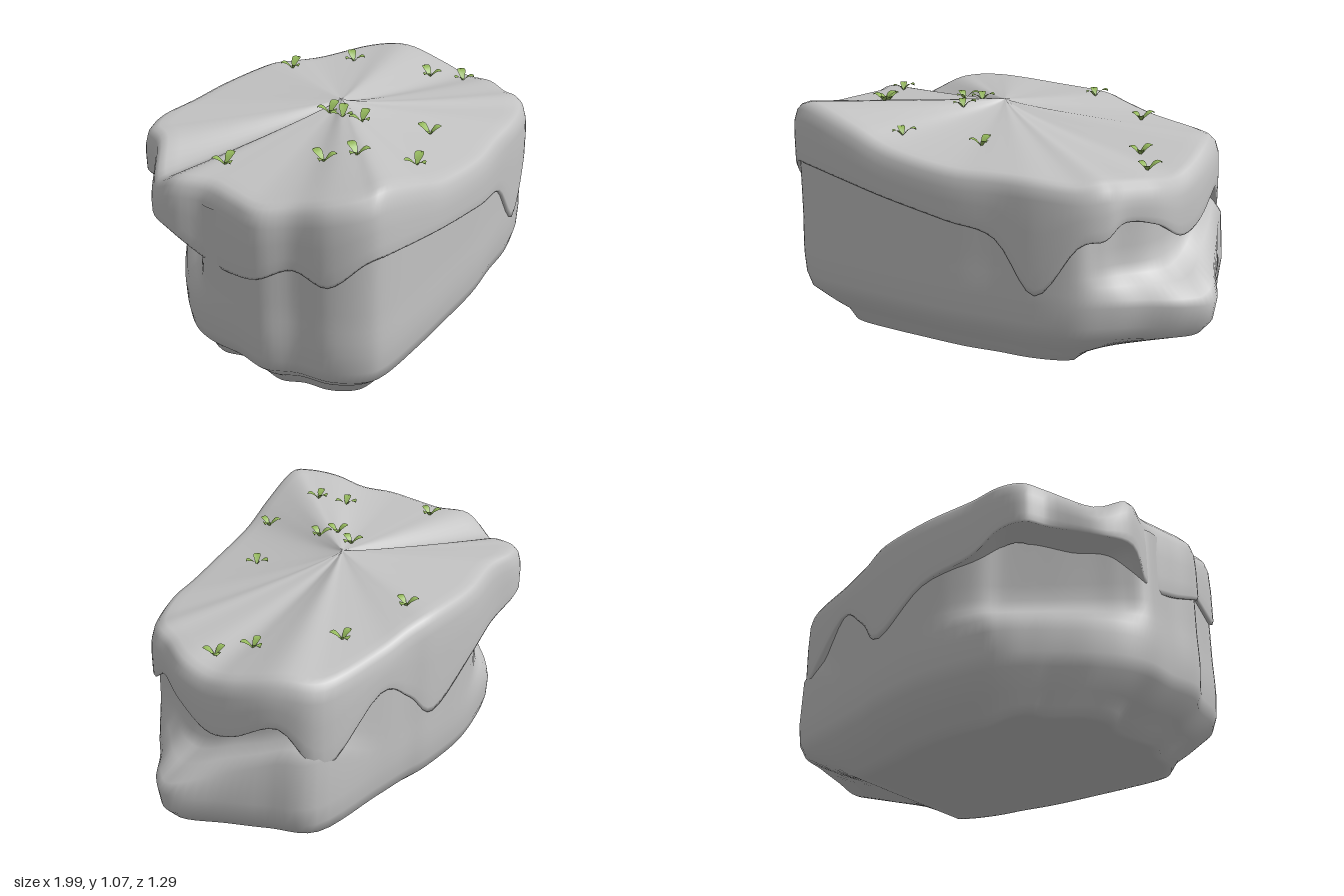
import * as THREE from 'three';

// Cap outline, right -> back -> left -> front: x, z, rim height, drip edge height
const OUTLINE = [
  [0.82, -0.1, 0.86, 0.6], [0.79, -0.3, 0.91, 0.69], [0.7, -0.46, 0.9, 0.51],
  [0.4, -0.54, 0.92, 0.73], [0.22, -0.58, 0.95, 0.63], [0.08, -0.62, 0.97, 0.5],
  [-0.2, -0.65, 0.97, 0.64], [-0.45, -0.63, 0.98, 0.69], [-0.62, -0.65, 0.97, 0.74],
  [-0.73, -0.62, 0.96, 0.75], [-0.78, -0.52, 0.95, 0.75], [-0.93, -0.4, 0.87, 0.71],
  [-0.99, -0.25, 0.94, 0.7], [-0.95, -0.1, 0.95, 0.6], [-0.97, 0.05, 0.95, 0.6],
  [-0.99, 0.2, 0.95, 0.64], [-0.93, 0.33, 0.97, 0.7], [-0.9, 0.48, 1.01, 0.66],
  [-0.82, 0.6, 1.04, 0.77], [-0.72, 0.64, 1.05, 0.78], [-0.5, 0.64, 0.98, 0.74],
  [-0.3, 0.63, 0.91, 0.7], [0, 0.61, 0.87, 0.65], [0.22, 0.57, 0.87, 0.6],
  [0.4, 0.545, 0.87, 0.38], [0.57, 0.49, 0.86, 0.6], [0.66, 0.42, 0.87, 0.63],
  [0.7, 0.33, 0.86, 0.69], [0.78, 0.2, 0.85, 0.66], [0.81, 0.05, 0.83, 0.575],
];
// Where the rock leaves the cap outline: outline index -> x, z
const MID_SHAPE = {
  // jutting ledge on the right
  0: [0.92, -0.08], 1: [0.84, -0.26], 2: [0.74, -0.45],
  26: [0.68, 0.4], 27: [0.79, 0.31], 28: [0.93, 0.22], 29: [1, 0.11],
  // sloping facet at the back left
  7: [-0.47, -0.61], 8: [-0.57, -0.57], 9: [-0.66, -0.5], 10: [-0.74, -0.43],
  11: [-0.84, -0.33], 12: [-0.92, -0.22], 13: [-0.96, -0.1],
};
const TOP_SHAPE = {
  7: [-0.4, -0.57], 8: [-0.5, -0.48], 9: [-0.6, -0.4], 10: [-0.69, -0.33],
  11: [-0.79, -0.25], 12: [-0.88, -0.18], 13: [-0.95, -0.1],
};
const N = OUTLINE.length * 5;
const CX = -0.13, CZ = -0.03, APEX = 1.02;

// Smooth closed loop through points, sampled N times
function sampleLoop(points) {
  const curve = new THREE.CatmullRomCurve3(points, true, 'catmullrom', 0.5);
  return Array.from({ length: N }, (_, j) => curve.getPoint(j / N));
}

// Skin over a stack of closed rings ordered from top to bottom
function skin(rings) {
  const pos = [], index = [];
  rings.forEach(ring => ring.forEach(p => pos.push(p.x, p.y, p.z)));
  for (let i = 0; i < rings.length - 1; i++) {
    for (let j = 0; j < N; j++) {
      const a = i * N + j, b = i * N + (j + 1) % N;
      index.push(a, a + N, b, b, a + N, b + N);
    }
  }
  const g = new THREE.BufferGeometry();
  g.setAttribute('position', new THREE.Float32BufferAttribute(pos, 3));
  g.setIndex(index);
  g.computeVertexNormals();
  return g;
}

const scaled = (p, s, y) => new THREE.Vector3(CX + (p.x - CX) * s, y, CZ + (p.z - CZ) * s);

function capGeometry(rim, edge) {
  const ring = (s, height) => rim.map((p, j) => scaled(p, s, height(p.y, edge[j].y)));
  const rings = [];
  // Top fans out from the apex, hollow towards low rims
  for (const s of [0.001, 0.03, 0.1, 0.2, 0.3, 0.45, 0.6, 0.75, 0.86, 0.92]) {
    rings.push(ring(s, r => APEX + (r - APEX) * Math.pow(s / 0.92, r > APEX ? 1.4 : 0.7)));
  }
  // Rounded shoulder, hanging skirt and turned-in lip
  rings.push(ring(0.955, r => r - 0.01), ring(0.98, r => r - 0.035), ring(0.995, r => r - 0.08));
  for (const t of [0.35, 0.7, 0.93]) rings.push(ring(1, (r, e) => r - 0.08 + (e - r + 0.08) * t));
  rings.push(ring(0.993, (r, e) => e), ring(0.93, (r, e) => e + 0.015), ring(0.72, (r, e) => e + 0.04));
  return skin(rings);
}

function rockGeometry(rim) {
  const shape = (table, scaleAt) => sampleLoop(OUTLINE.map(([x, z], i) => table[i]
    ? new THREE.Vector3(table[i][0], 0, table[i][1])
    : scaled({ x, z }, scaleAt(i), 0)));
  const top = shape(TOP_SHAPE, i => (i < 3 || i > 25 ? 0.935 : 0.98));
  const mid = shape(MID_SHAPE, () => 0.985);
  const base = rim.map(p => new THREE.Vector3(
    Math.min(0.45, -0.17 + (p.x + 0.17) * 0.76), 0, p.z * 0.71));
  const blend = (a, b, t, y) => a.map((p, j) => {
    const q = p.clone().lerp(b[j], t);
    q.y = y;
    return q;
  });
  // The ledge climbs towards the back
  const climb = (t, y) => blend(mid, top, t, y).map((q, j) => {
    const m = mid[j];
    q.y += 0.15 * THREE.MathUtils.clamp((0.08 - m.z) / 0.4, -0.2, 1) * THREE.MathUtils.smoothstep(m.x, 0.35, 0.75);
    return q;
  });
  const foot = base.map(p => new THREE.Vector3(p.x, 0.023 + 0.012 * p.x - 0.03 * p.z, p.z));
  const rings = [
    top.map((p, j) => new THREE.Vector3(p.x, rim[j].y - 0.09, p.z)),
    climb(1, 0.6), climb(0.94, 0.53), climb(0.82, 0.485), climb(0.5, 0.45), climb(0.12, 0.4),
    blend(mid, top, 0, 0.34), blend(mid, base, 0.03, 0.25), blend(mid, base, 0.12, 0.19),
    blend(mid, base, 0.54, 0.11), blend(mid, base, 0.84, 0.06), foot,
  ];
  // Underside
  for (const s of [0.95, 0.5, 0.001]) {
    rings.push(foot.map(p => new THREE.Vector3(-0.17 + (p.x + 0.17) * s, p.y * s + 0.023 * (1 - s), p.z * s)));
  }
  return skin(rings);
}

// Arching leaf blade: narrow stalk, wide oval end
function leafGeometry() {
  const g = new THREE.PlaneGeometry(1, 1, 8, 2);
  const p = g.attributes.position;
  for (let i = 0; i < p.count; i++) {
    const t = p.getX(i) + 0.5, side = p.getY(i) * 2;
    const width = 0.004 * (1 - t) + 0.019 * Math.pow(Math.sin(Math.PI * Math.pow(t, 1.5)), 0.7);
    p.setXYZ(i, 0.066 * t, 0.038 * Math.sin(t * 2.1) - 0.004 + 0.006 * Math.abs(side) * t, -side * width);
  }
  g.computeVertexNormals();
  return g;
}

export function createModel() {
  const stone = new THREE.MeshStandardMaterial({ color: 0xc2c2c2 });
  stone.name = 'grey stone';
  const green = new THREE.MeshStandardMaterial({ color: 0x94b85c, side: THREE.DoubleSide });
  green.name = 'leaf green';
  const model = new THREE.Group();
  model.name = 'rock';

  const rim = sampleLoop(OUTLINE.map(([x, z, r]) => new THREE.Vector3(x, r, z)));
  const edge = sampleLoop(OUTLINE.map(([x, z, , e]) => new THREE.Vector3(x, e, z)));
  const cap = new THREE.Mesh(capGeometry(rim, edge), stone);
  cap.name = 'drippingCap';
  const body = new THREE.Mesh(rockGeometry(rim), stone);
  body.name = 'rockBody';
  model.add(body, cap);

  // Sprouts dropped onto the cap: x, z, turn
  const leaf = leafGeometry();
  const ray = new THREE.Raycaster();
  const spots = [
    [0.08, -0.47, 0.2], [0.39, -0.35, 0.9], [-0.78, -0.12, 0.1], [-0.24, -0.01, 0.1],
    [-0.27, 0.08, 0.5], [-0.23, 0.15, 0.2], [-0.59, 0.23, 1.4], [-0.52, 0.34, 1.2],
    [0, 0.34, 1.57], [-0.31, 0.48, 0.3], [0.56, -0.03, 1.1], [0.66, 0.09, 0.8],
  ];
  spots.forEach(([x, z, turn], i) => {
    ray.set(new THREE.Vector3(x, 2, z), new THREE.Vector3(0, -1, 0));
    const sprout = new THREE.Group();
    sprout.name = 'sprout' + (i + 1);
    sprout.position.copy(ray.intersectObject(cap)[0].point);
    for (let k = 0; k < 3; k++) {
      const blade = new THREE.Mesh(leaf, green);
      blade.name = 'leaf';
      blade.rotation.y = turn + k * Math.PI * 2 / 3;
      blade.scale.setScalar(k === 0 ? 0.95 : 0.8);
      sprout.add(blade);
    }
    model.add(sprout);
  });
  return model;
}
